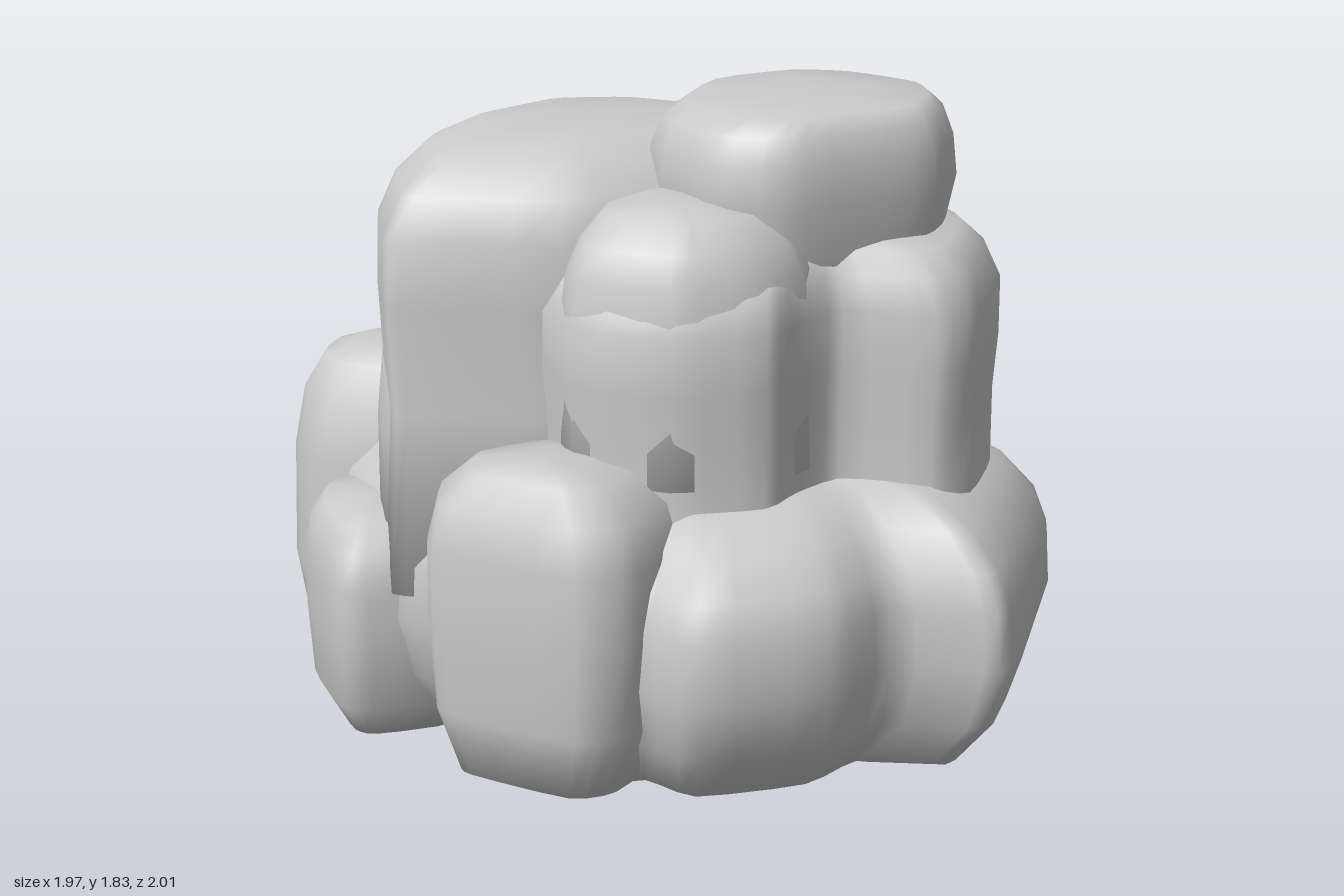
import * as THREE from 'three';

const stone = new THREE.MeshStandardMaterial({ color: 0xcccccc, roughness: 0.9 });

// One rounded boulder lobe: a plan outline [x, z] stacked in rings [y, scale, shiftZ].
function lump(name, outline, rings) {
  const curve = new THREE.CatmullRomCurve3(
    outline.map(([x, z]) => new THREE.Vector3(x, 0, z)), true, 'catmullrom', 0.3);
  let pts = curve.getPoints(outline.length * 3).slice(0, -1);
  const area = THREE.ShapeUtils.area(pts.map(p => new THREE.Vector2(p.x, p.z)));
  if (area > 0) pts.reverse();
  const c = pts.reduce((a, p) => a.add(p), new THREE.Vector3()).divideScalar(pts.length);
  const n = pts.length, pos = [], index = [];
  for (const [y, s, dz = 0] of rings) {
    for (const p of pts) pos.push(c.x + (p.x - c.x) * s, y, c.z + (p.z - c.z) * s + dz);
  }
  for (let r = 0; r < rings.length - 1; r++) {
    for (let i = 0; i < n; i++) {
      const j = (i + 1) % n, a = r * n + i, b = r * n + j;
      index.push(a, b, b + n, a, b + n, a + n);
    }
  }
  // Close the bottom and top with fans
  const last = (rings.length - 1) * n, bottom = pos.length / 3, top = bottom + 1;
  pos.push(c.x, rings[0][0], c.z, c.x, rings.at(-1)[0] + 0.01, c.z);
  for (let i = 0; i < n; i++) {
    const j = (i + 1) % n;
    index.push(bottom, j, i, top, last + i, last + j);
  }
  const g = new THREE.BufferGeometry();
  g.setAttribute('position', new THREE.Float32BufferAttribute(pos, 3));
  g.setIndex(index);
  g.computeVertexNormals();
  const mesh = new THREE.Mesh(g, stone);
  mesh.name = name;
  return mesh;
}

export function createModel() {
  const rock = new THREE.Group();
  rock.name = 'rock';

  // Broad foot of the rock
  rock.add(lump('base', [
    [0.07, -1], [0.22, -0.93], [0.27, -0.8], [0.49, -0.7], [0.55, -0.57], [0.72, -0.52],
    [0.93, -0.22], [0.96, -0.08], [0.88, 0.2], [0.98, 0.33], [0.95, 0.46], [0.56, 0.99],
    [0.45, 0.97], [0.27, 0.88], [0.05, 0.98], [-0.3, 0.94], [-0.4, 0.77], [-0.56, 0.74],
    [-0.8, 0.42], [-0.73, 0.2], [-0.83, 0.05], [-0.83, -0.5], [-0.7, -0.85], [-0.4, -0.92],
  ], [[0, 0.38, -0.08], [0.02, 0.62, -0.05], [0.1, 0.85, -0.03], [0.25, 0.95], [0.42, 1],
    [0.58, 0.99], [0.68, 0.95], [0.77, 0.86], [0.84, 0.72], [0.87, 0.4]]));

  // Low lobe on the right flank
  rock.add(lump('sideLobe', [
    [-0.9, 0.06], [-0.98, -0.03], [-0.97, -0.32], [-0.86, -0.53], [-0.5, -0.55], [-0.5, 0.05],
  ], [[0.04, 0.6], [0.15, 0.92], [0.35, 0.99], [0.5, 1], [0.6, 0.92], [0.66, 0.72], [0.68, 0.4]]));

  // Back corner lobe
  rock.add(lump('backCornerLobe', [
    [-0.86, -0.53], [-0.88, -0.75], [-0.75, -0.93], [-0.57, -0.97], [-0.38, -0.9], [-0.2, -0.5],
    [-0.5, -0.3],
  ], [[0.03, 0.55], [0.13, 0.88], [0.35, 1], [0.68, 0.97], [0.85, 0.86], [0.95, 0.65], [0.98, 0.35]]));

  // Front corner lobe
  rock.add(lump('frontCornerLobe', [
    [-0.83, 0.38], [-0.82, 0.47], [-0.57, 0.78], [-0.4, 0.79], [-0.15, 0.55], [-0.3, 0.15],
    [-0.72, 0.18],
  ], [[0.12, 0.75], [0.3, 0.95], [0.55, 1], [0.75, 1], [0.87, 0.9], [0.95, 0.62], [0.97, 0.3]]));

  // Middle step around the back
  rock.add(lump('backStep', [
    [-0.8, 0.05], [-0.76, -0.27], [-0.58, -0.6], [-0.42, -0.82], [-0.05, -0.86], [0.22, -0.79],
    [0.46, -0.66], [0.52, -0.45], [0.65, -0.35], [0.74, 0], [0.68, 0.12], [0.4, 0.4], [-0.3, 0.35],
  ], [[0.5, 1], [0.92, 1], [1.08, 0.98], [1.17, 0.93], [1.24, 0.8], [1.27, 0.5]]));

  // Upright mass with twin front columns
  rock.add(lump('frontColumns', [
    [-0.46, 0.45], [-0.26, 0.66], [-0.02, 0.71], [0.1, 0.64], [0.25, 0.58], [0.46, 0.71],
    [0.6, 0.67], [0.79, 0.42], [0.82, 0.26], [0.69, 0.1], [0.61, -0.15], [0.53, -0.35],
    [0.28, -0.54], [0.07, -0.67], [-0.2, -0.62], [-0.45, -0.2],
  ], [[0.5, 1.03], [0.8, 0.98], [1, 0.98], [1.15, 1], [1.31, 1], [1.4, 0.93], [1.46, 0.82], [1.49, 0.5]]));

  // Shelf on top of the front column
  rock.add(lump('frontShelf', [
    [-0.45, 0.45], [-0.26, 0.65], [-0.02, 0.68], [0.2, 0.55], [0.2, 0], [-0.2, 0], [-0.43, 0.3],
  ], [[0.9, 1], [1.3, 1], [1.43, 0.94], [1.51, 0.82], [1.58, 0.62], [1.6, 0.3]]));

  // Tall shoulder behind
  rock.add(lump('shoulder', [
    [-0.8, 0.1], [-0.82, 0.02], [-0.75, -0.25], [-0.62, -0.4], [-0.4, -0.5], [-0.15, -0.6],
    [0.02, -0.57], [0.25, -0.48], [0.5, -0.2], [0.3, 0.2], [-0.1, 0.3], [-0.42, 0.3],
  ], [[0.5, 1.02], [1, 0.98], [1.3, 1.01], [1.48, 1], [1.59, 0.9], [1.67, 0.72], [1.71, 0.52], [1.715, 0.25]]));

  // Small ledge at the back of the shoulder
  rock.add(lump('backLedge', [
    [-0.05, -0.3], [0.2, -0.46], [0.42, -0.43], [0.55, -0.25], [0.57, -0.05], [0.3, 0.2], [0, 0.1],
  ], [[1.2, 1], [1.5, 1], [1.6, 0.94], [1.67, 0.8], [1.71, 0.5]]));

  // Summit block
  rock.add(lump('summit', [
    [-0.13, 0.15], [-0.08, 0.45], [0.08, 0.57], [0.3, 0.56], [0.54, 0.52], [0.68, 0.36],
    [0.72, 0.18], [0.58, -0.06], [0.4, -0.16], [0.1, -0.12],
  ], [[1.3, 0.85], [1.45, 0.92], [1.59, 1], [1.7, 0.97], [1.77, 0.9], [1.81, 0.78], [1.82, 0.4]]));

  return rock;
}
